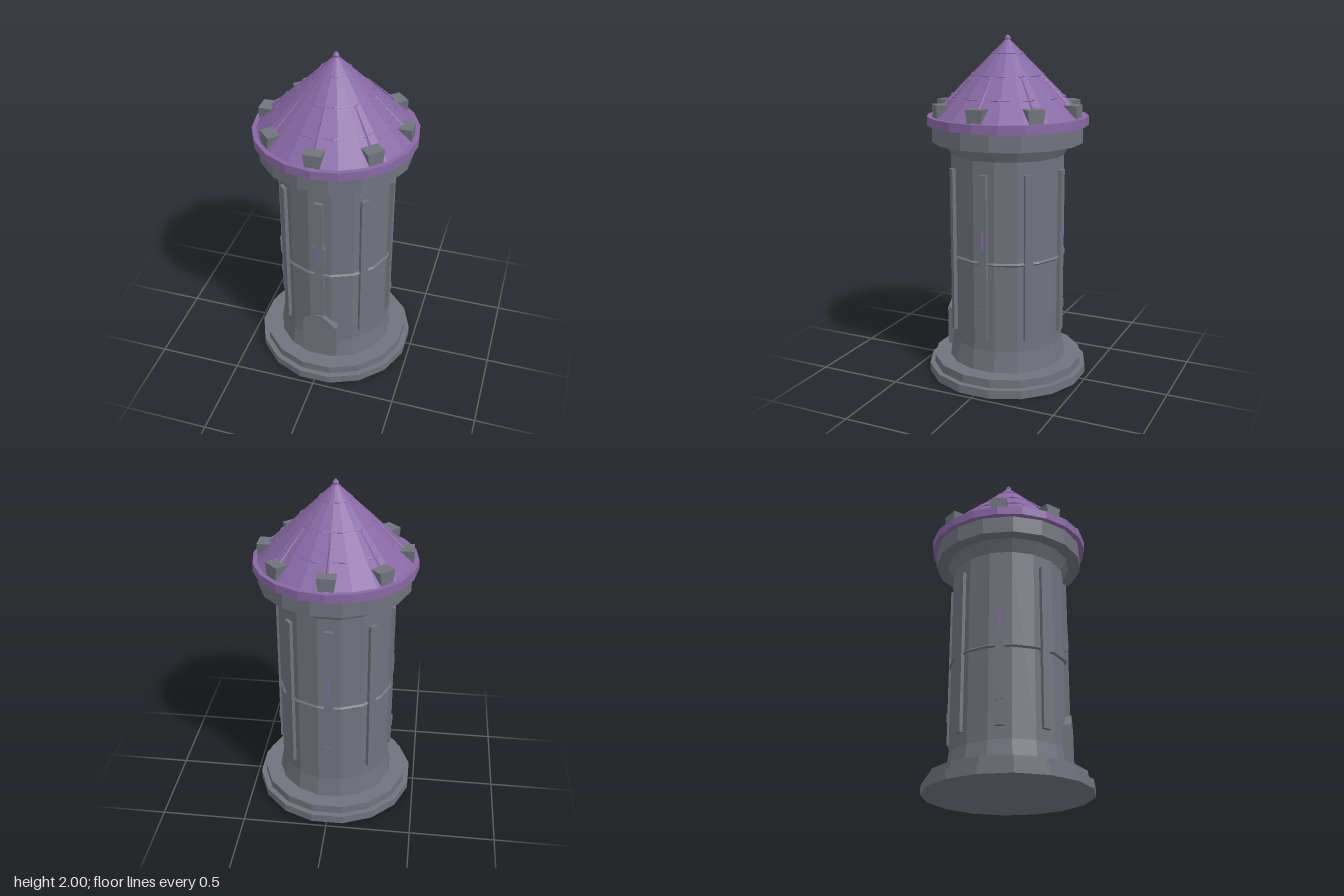
import * as THREE from 'three';

export function createModel() {
  const tower = new THREE.Group();
  tower.name = 'tower';
  const stone = new THREE.MeshStandardMaterial({ color: 0x70737d, flatShading: true });
  stone.name = 'grey stone';
  const purple = new THREE.MeshStandardMaterial({ color: 0x8868a4, flatShading: true });
  purple.name = 'purple slate';

  const add = (name, geometry, material, parent = tower) => {
    const mesh = new THREE.Mesh(geometry, material);
    mesh.name = name;
    parent.add(mesh);
    return mesh;
  };
  // Upright faceted drum between two heights, turned by half a side if asked
  const drum = (name, y0, y1, r0, r1, material, sides = 16, half = true) => {
    const g = new THREE.CylinderGeometry(r1, r0, y1 - y0, sides);
    if (half) g.rotateY(Math.PI / sides);
    g.translate(0, (y0 + y1) / 2, 0);
    return add(name, g, material);
  };
  const ring = (name, y, r, tube, sides, material) => {
    const g = new THREE.TorusGeometry(r, tube, 4, sides);
    g.rotateX(Math.PI / 2).rotateY(Math.PI / sides).translate(0, y, 0);
    return add(name, g, material);
  };
  const box = (name, w, h, d, y, z, material, parent) =>
    add(name, new THREE.BoxGeometry(w, h, d), material, parent).position.set(0, y, z);

  // Stepped base
  drum('lowerStep', 0, 0.05, 0.477, 0.477, stone);
  drum('upperStep', 0.05, 0.1, 0.445, 0.445, stone);

  // Shaft with flared foot and neck
  const profile = [[0.35, 0.1], [0.331, 0.22], [0.331, 1.33], [0.372, 1.41]]
    .map(([r, y]) => new THREE.Vector2(r, y));
  const shaft = new THREE.LatheGeometry(profile, 16);
  shaft.rotateY(Math.PI / 16);
  add('shaft', shaft, stone);
  drum('collar', 1.4, 1.5, 0.438, 0.438, stone);
  ring('beltCourse', 0.745, 0.335, 0.01, 16, stone);

  // Roof
  const apex = 1.985, eaves = 1.55, roofR = 0.44;
  const roofY = r => apex - (r / roofR) * (apex - eaves);
  drum('roofRim', 1.5, eaves, 0.466, 0.466, purple, 20, false);
  drum('roofCone', eaves, apex, roofR, 0.004, purple, 20, false);
  for (const r of [0.085, 0.205, 0.325]) ring('roofRing', roofY(r), r + 0.003, 0.006, 12, purple);
  drum('finialBase', 1.965, 1.985, 0.015, 0.018, purple, 8);
  drum('finialTip', 1.985, 2, 0.018, 0.006, purple, 8);

  // Merlon that narrows downward
  const merlon = new THREE.BoxGeometry(0.102, 0.075, 0.076);
  const p = merlon.attributes.position;
  for (let i = 0; i < p.count; i++) if (p.getY(i) < 0) p.setX(i, p.getX(i) * 0.8);
  merlon.translate(0, 1.587, 0.398);

  // Tapered roof rib, lying on the slope
  const ribFrom = new THREE.Vector3(0, roofY(0.205), 0.205);
  const ribTo = new THREE.Vector3(0, roofY(0.375), 0.375);
  const ribDir = ribTo.clone().sub(ribFrom);
  const rib = new THREE.CylinderGeometry(0.003, 0.008, ribDir.length(), 4);
  rib.applyQuaternion(new THREE.Quaternion().setFromUnitVectors(
    new THREE.Vector3(0, -1, 0), ribDir.clone().normalize()));
  rib.translate(0, (ribFrom.y + ribTo.y) / 2 + 0.002, (ribFrom.z + ribTo.z) / 2 + 0.002);

  // Eight bays around the tower
  for (let i = 0; i < 8; i++) {
    const bay = new THREE.Group();
    bay.name = 'bay';
    bay.rotation.y = (i * Math.PI) / 4;
    tower.add(bay);
    add('merlon', merlon, stone, bay);
    add('roofRib', rib, purple, bay);
    box('pilaster', 0.05, 0.965, 0.03, 0.7725, 0.331, stone, bay);
    if (i % 2 === 0) {
      box('windowSlit', 0.012, 0.11, 0.006, 0.885, 0.347, purple, bay);
      if (i > 0) box('bracket', 0.046, 0.05, 0.008, 0.455, 0.348, stone, bay);
    }
  }

  // Window surround on the front pilaster
  box('windowSurround', 0.07, 0.13, 0.022, 0.885, 0.335, stone);

  // Pointed door
  const outline = new THREE.Shape([[-0.105, 0.125], [0.105, 0.125], [0.105, 0.355],
    [0.018, 0.435], [-0.018, 0.435], [-0.105, 0.355]].map(([x, y]) => new THREE.Vector2(x, y)));
  const door = new THREE.ExtrudeGeometry(outline, { depth: 0.05, bevelEnabled: false });
  door.translate(0, 0, 0.305);
  add('door', door, stone);
  box('doorKnob', 0.012, 0.012, 0.01, 0.25, 0.357, stone);

  return tower;
}
